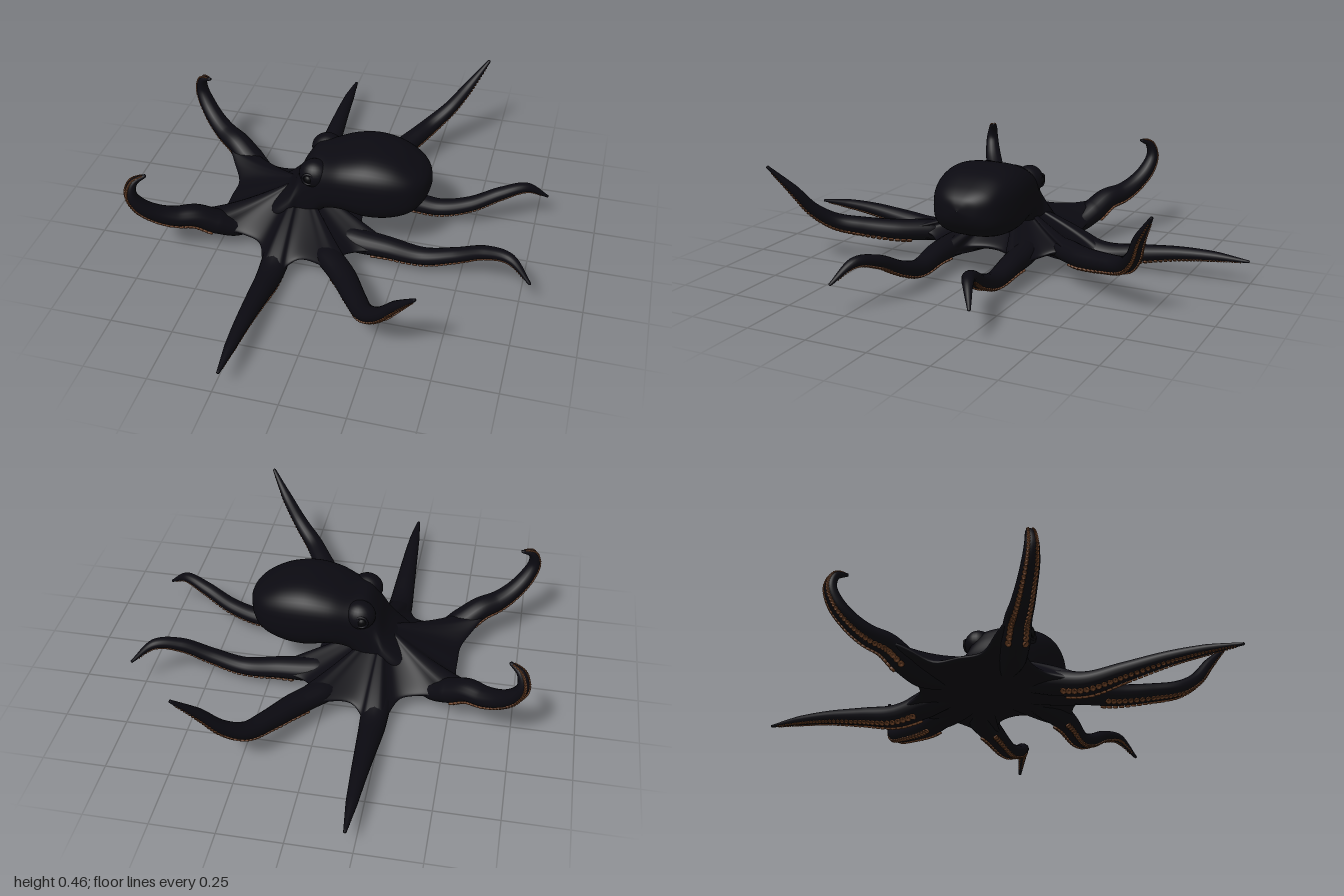
import * as THREE from 'three';
import { mergeGeometries } from 'three/addons/utils/BufferGeometryUtils.js';

const skin = new THREE.MeshStandardMaterial({ color: 0x0b0a11 });
const suckerSkin = new THREE.MeshStandardMaterial({ color: 0x6e4226, side: THREE.DoubleSide });
const eyeSkin = new THREE.MeshStandardMaterial({ color: 0x050508 });
const V = (x, y, z) => new THREE.Vector3(x, y, z);

// Smooth skin over a list of closed rings with equal point counts
function loft(rings) {
  const n = rings[0].length, index = [];
  for (let i = 0; i < rings.length - 1; i++) {
    for (let j = 0; j < n; j++) {
      const a = i * n + j, b = i * n + (j + 1) % n;
      index.push(a, b, a + n, b, b + n, a + n);
    }
  }
  const geometry = new THREE.BufferGeometry().setFromPoints(rings.flat());
  geometry.setIndex(index);
  geometry.computeVertexNormals();
  return geometry;
}

function add(parent, name, geometry, material) {
  const mesh = new THREE.Mesh(geometry, material);
  mesh.name = name;
  parent.add(mesh);
  return mesh;
}

// Mantle and head stations: x, bottom, top, half width
const bodyStations = [
  [-0.4, 0.08, 0.125, 0.04], [-0.35, 0.075, 0.16, 0.11], [-0.28, 0.07, 0.205, 0.15],
  [-0.22, 0.07, 0.27, 0.15], [-0.18, 0.07, 0.35, 0.13], [-0.14, 0.09, 0.405, 0.135],
  [-0.08, 0.18, 0.422, 0.152], [0, 0.203, 0.45, 0.173], [0.1, 0.186, 0.467, 0.18],
  [0.2, 0.194, 0.452, 0.166], [0.28, 0.225, 0.415, 0.132], [0.32, 0.265, 0.385, 0.083],
  [0.336, 0.3, 0.36, 0.035], [0.342, 0.33, 0.331, 0.001],
];

function bodyGeometry() {
  const low = new THREE.CatmullRomCurve3(bodyStations.map(s => V(s[0], s[1], 0)));
  const high = new THREE.CatmullRomCurve3(bodyStations.map(s => V(s[0], s[2], s[3])));
  const rings = [], power = 0.7;
  for (let i = 0; i <= 78; i++) {
    const a = low.getPoint(i / 78), b = high.getPoint(i / 78), ring = [];
    const mid = (a.y + b.y) / 2, half = (b.y - a.y) / 2;
    for (let j = 0; j < 48; j++) {
      const t = j / 48 * Math.PI * 2, c = Math.cos(t), s = Math.sin(t);
      ring.push(V(b.x, mid + half * Math.sign(c) * Math.abs(c) ** power,
        b.z * Math.sign(s) * Math.abs(s) ** power));
    }
    rings.push(ring);
  }
  return loft(rings);
}

// Web rim on one side: x, y, z
const rim = [
  [-0.51, 0.105, 0], [-0.515, 0.105, 0.1], [-0.565, 0.15, 0.18], [-0.595, 0.175, 0.24],
  [-0.545, 0.16, 0.275], [-0.45, 0.115, 0.245], [-0.38, 0.1, 0.237], [-0.31, 0.09, 0.258],
  [-0.275, 0.07, 0.33], [-0.25, 0.055, 0.42], [-0.19, 0.055, 0.42], [-0.165, 0.075, 0.36],
  [-0.12, 0.1, 0.33], [-0.03, 0.12, 0.36], [0.05, 0.13, 0.42], [0.1, 0.135, 0.44],
  [0.12, 0.135, 0.4], [0.06, 0.125, 0.325], [0.05, 0.12, 0.285], [0.08, 0.105, 0.24],
  [0.15, 0.1, 0.207], [0.23, 0.095, 0.175], [0.19, 0.095, 0.13], [0.09, 0.1, 0.09], [0.06, 0.105, 0],
];

// Webbed skirt: rings from underside centre, round the rim, to the top centre
function webGeometry() {
  const mirrored = rim.slice(1, -1).reverse().map(([x, y, z]) => [x, y, -z]);
  const curve = new THREE.CatmullRomCurve3([...rim, ...mirrored].map(p => V(...p)), true);
  const edge = curve.getPoints(240).slice(0, -1), rings = [];
  for (let i = 0; i <= 40; i++) {
    const phi = (i / 40 - 0.5) * Math.PI, t = Math.max(Math.cos(phi), 0.001), s = Math.sin(phi);
    const rise = s > 0 ? 0.115 : 0;
    rings.push(edge.map(p => V(-0.2 + (p.x + 0.2) * t,
      0.1 + (p.y - 0.1) * t ** 3 + rise * (1 - t) ** 1.3 + 0.038 * s, p.z * t)));
  }
  return loft(rings);
}

// Arm paths on one side: x, y, z, radius
const arms = {
  frontArm: [[-0.34, 0.1, 0.12, 0.035], [-0.43, 0.1, 0.185, 0.05], [-0.5, 0.137, 0.225, 0.057],
    [-0.57, 0.183, 0.265, 0.051], [-0.64, 0.2, 0.31, 0.045], [-0.7, 0.235, 0.35, 0.039],
    [-0.75, 0.29, 0.385, 0.034], [-0.775, 0.35, 0.4, 0.027], [-0.763, 0.403, 0.39, 0.019],
    [-0.72, 0.426, 0.365, 0.007]],
  sideArm: [[-0.22, 0.1, 0.15, 0.04], [-0.22, 0.08, 0.27, 0.058], [-0.22, 0.055, 0.4, 0.052],
    [-0.22, 0.076, 0.55, 0.042], [-0.22, 0.1, 0.72, 0.031], [-0.22, 0.108, 0.86, 0.022],
    [-0.22, 0.105, 0.997, 0.006]],
  rearSideArm: [[-0.09, 0.1, 0.2, 0.035], [0, 0.12, 0.31, 0.052], [0.085, 0.13, 0.415, 0.05],
    [0.16, 0.15, 0.54, 0.043], [0.22, 0.175, 0.635, 0.038], [0.29, 0.235, 0.695, 0.031],
    [0.36, 0.33, 0.74, 0.024], [0.437, 0.437, 0.807, 0.007]],
  rearArm: [[-0.08, 0.1, 0.1, 0.04], [0.05, 0.1, 0.15, 0.058], [0.2, 0.097, 0.165, 0.048],
    [0.35, 0.082, 0.165, 0.039], [0.48, 0.12, 0.17, 0.034], [0.6, 0.18, 0.195, 0.029],
    [0.7, 0.2, 0.235, 0.022], [0.788, 0.133, 0.285, 0.006]],
};

// Point, radius and cross axes anywhere along an arm
function armFrame(path, side) {
  const pts = path.map(([x, y, z]) => V(x, y, z * side));
  const curve = new THREE.CatmullRomCurve3(pts);
  const heading = pts[pts.length - 1].clone().sub(pts[0]).setY(0);
  const across = heading.cross(V(0, 1, 0)).normalize();
  return t => {
    const k = Math.min(t * (path.length - 1), path.length - 1.0001), i = Math.floor(k);
    const tangent = curve.getTangent(t);
    const s = across.clone().addScaledVector(tangent, -across.dot(tangent)).normalize();
    const n = s.clone().cross(tangent);
    const r = THREE.MathUtils.lerp(path[i][3], path[i + 1][3], k - i);
    return { p: curve.getPoint(t), tangent, s, n, r };
  };
}

function armGeometry(frame) {
  const rings = [];
  for (let i = 0; i <= 72; i++) {
    const { p, s, n, r } = frame(i / 72), ring = [];
    for (let j = 0; j < 18; j++) {
      const a = j / 18 * Math.PI * 2;
      ring.push(p.clone().addScaledVector(n, r * 0.86 * Math.cos(a)).addScaledVector(s, r * Math.sin(a)));
    }
    rings.push(ring);
  }
  const tip = frame(1);
  rings.push(rings[0].map(() => tip.p.clone().addScaledVector(tip.tangent, tip.r * 0.5)));
  return loft(rings);
}

// Two rows of cups beneath an arm, shrinking to the tip
function suckerGeometry(frame) {
  const cup = new THREE.LatheGeometry([[0.6, -0.5], [1, 0.3], [0.85, 0.65], [0.5, 0.5], [0, 0.1]]
    .map(([x, y]) => new THREE.Vector2(x, y)), 8);
  const cups = [];
  for (let t = 0.24; t < 0.97;) {
    const { p, tangent, s, n, r } = frame(t), size = 0.22 * r + 0.0015;
    for (const row of [-1, 1]) {
      const out = n.clone().multiplyScalar(-0.9).addScaledVector(s, row * 0.55).normalize();
      const m = new THREE.Matrix4().makeBasis(out.clone().cross(tangent).normalize(), out, tangent);
      m.scale(V(size, size, size));
      m.setPosition(p.clone().addScaledVector(n, -r * 0.73).addScaledVector(s, row * r * 0.53));
      cups.push(cup.clone().applyMatrix4(m));
    }
    t += 0.009 + 0.3 * r;
  }
  return mergeGeometries(cups);
}

export function createModel() {
  const model = new THREE.Group();
  model.name = 'octopus';
  add(model, 'mantleAndHead', bodyGeometry(), skin);
  add(model, 'web', webGeometry(), skin);

  for (const side of [1, -1]) {
    // Eye: raised mound, lid ring and eyeball
    const eye = new THREE.Group();
    eye.name = side > 0 ? 'leftEye' : 'rightEye';
    eye.position.set(-0.115, 0.358, 0.095 * side);
    const mound = add(eye, 'eyeMound', new THREE.SphereGeometry(0.06, 24, 16), skin);
    mound.scale.set(1.08, 1, 0.95);
    const lid = add(eye, 'eyelid', new THREE.TorusGeometry(0.024, 0.005, 8, 24), skin);
    lid.position.set(-0.015, 0, 0.05 * side);
    const ball = add(eye, 'eyeball', new THREE.SphereGeometry(0.02, 16, 12), eyeSkin);
    ball.position.set(-0.015, 0, 0.041 * side);
    model.add(eye);

    for (const [name, path] of Object.entries(arms)) {
      const arm = new THREE.Group(), frame = armFrame(path, side);
      arm.name = name;
      add(arm, 'armSkin', armGeometry(frame), skin);
      add(arm, 'suckers', suckerGeometry(frame), suckerSkin);
      model.add(arm);
    }
  }
  return model;
}
